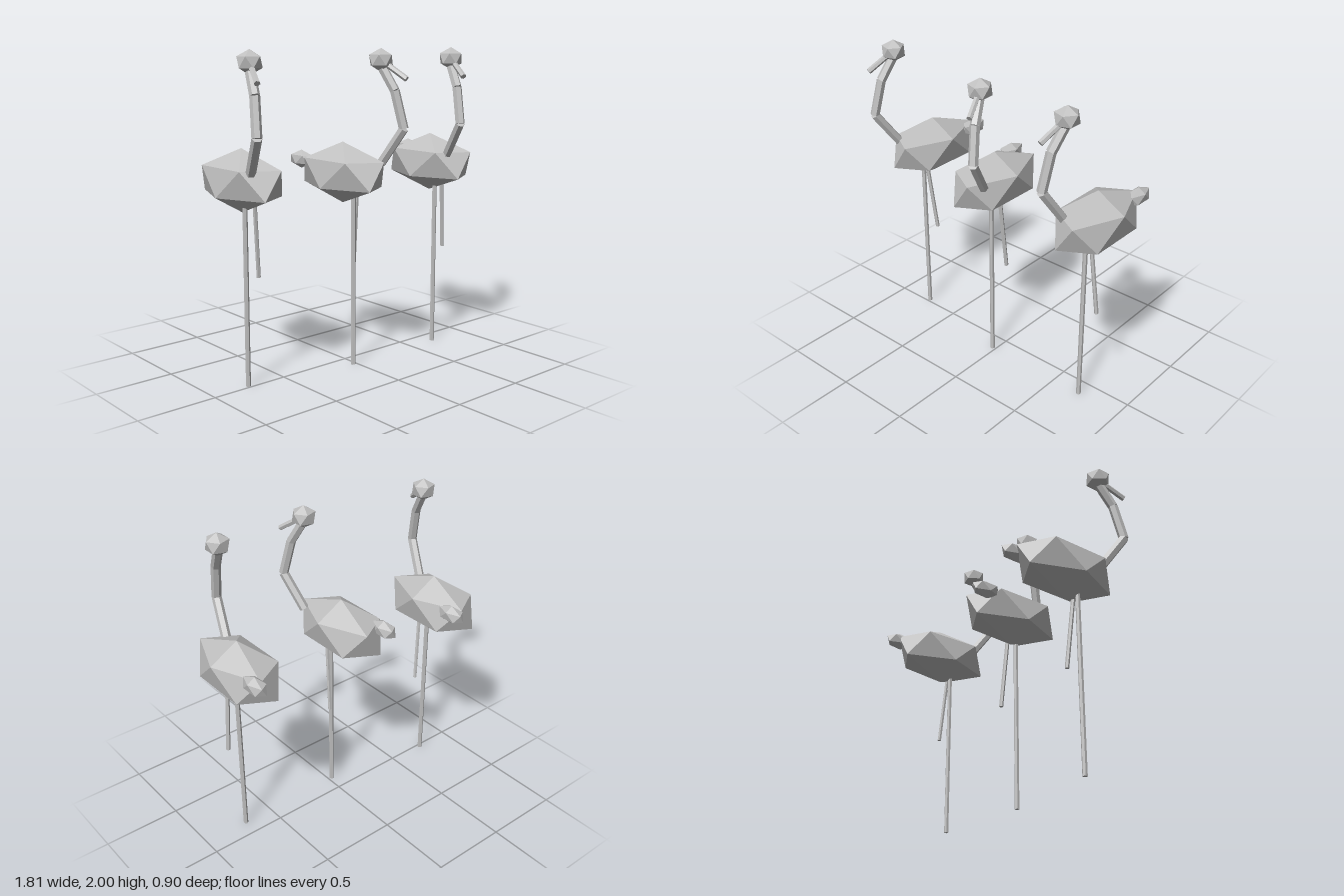
import * as THREE from 'three';

const grey = new THREE.MeshStandardMaterial({ color: 0xc0c0c0, flatShading: true });
grey.name = 'plain grey';

// Faceted ball standing on one corner, stretched to the given radii
function ball(name, center, radii) {
  const geo = new THREE.IcosahedronGeometry(1, 0);
  geo.rotateX(-Math.atan((1 + Math.sqrt(5)) / 2));
  geo.rotateY(Math.PI / 2);
  geo.scale(...radii);
  const mesh = new THREE.Mesh(geo, grey);
  mesh.name = name;
  mesh.position.set(...center);
  return mesh;
}

// Six-sided rod between two points
function rod(name, from, to, radius) {
  const a = new THREE.Vector3(...from);
  const b = new THREE.Vector3(...to);
  const dir = b.clone().sub(a);
  const mesh = new THREE.Mesh(new THREE.CylinderGeometry(radius, radius, dir.length(), 6), grey);
  mesh.name = name;
  mesh.position.copy(a).add(b).multiplyScalar(0.5);
  mesh.quaternion.setFromUnitVectors(new THREE.Vector3(0, 1, 0), dir.normalize());
  return mesh;
}

// Each bird: body and tail centres, neck joints from base to head, beak tip, legs
const birds = [
  {
    name: 'rightBird', body: [-0.72, 1.24, -0.09], tail: [-0.61, 1.305, -0.365],
    neck: [[-0.81, 1.31, 0.13], [-0.866, 1.525, 0.275], [-0.84, 1.75, 0.225], [-0.808, 1.9, 0.135]],
    head: [-0.808, 1.929, 0.137], beak: [-0.872, 1.82, 0.295],
    foot: [-0.75, -0.02], raised: [[-0.695, 1.12, 0], [-0.652, 0.655, -0.032]],
  },
  {
    name: 'middleBird', body: [-0.055, 1.24, 0.043], tail: [-0.16, 1.305, -0.235],
    neck: [[0.058, 1.31, 0.27], [0.108, 1.525, 0.41], [0.08, 1.75, 0.36], [0.045, 1.9, 0.275]],
    head: [0.045, 1.929, 0.275], beak: [0.106, 1.82, 0.432],
    foot: [-0.025, 0.11], raised: [[0.026, 1.12, 0.085], [0.04, 0.655, 0.042]],
  },
  {
    name: 'leftBird', body: [0.72, 1.24, 0.04], tail: [0.803, 1.305, -0.25],
    neck: [[0.65, 1.31, 0.26], [0.606, 1.525, 0.41], [0.625, 1.75, 0.36], [0.655, 1.9, 0.27]],
    head: [0.657, 1.929, 0.272], beak: [0.605, 1.82, 0.43],
    foot: [0.70, 0.11], raised: [[0.751, 1.12, 0.125], [0.795, 0.655, 0.1]],
  },
];

export function createModel() {
  const model = new THREE.Group();
  model.name = 'wadingBirds';
  for (const b of birds) {
    const bird = new THREE.Group();
    bird.name = b.name;
    bird.add(ball('body', b.body, [0.206, 0.19, 0.366]));
    bird.add(ball('tail', b.tail, [0.055, 0.058, 0.108]));
    bird.add(ball('head', b.head, [0.08, 0.071, 0.08]));
    // Neck in three straight pieces
    for (let i = 0; i < 3; i++) bird.add(rod('neck' + (i + 1), b.neck[i], b.neck[i + 1], 0.03));
    bird.add(rod('beak', b.head, b.beak, 0.018));
    // Standing leg and short raised leg
    const [x, z] = b.foot;
    bird.add(rod('standingLeg', [x, 0, z], [x, 1.15, z], 0.015));
    bird.add(rod('raisedLeg', b.raised[0], b.raised[1], 0.013));
    model.add(bird);
  }
  return model;
}
